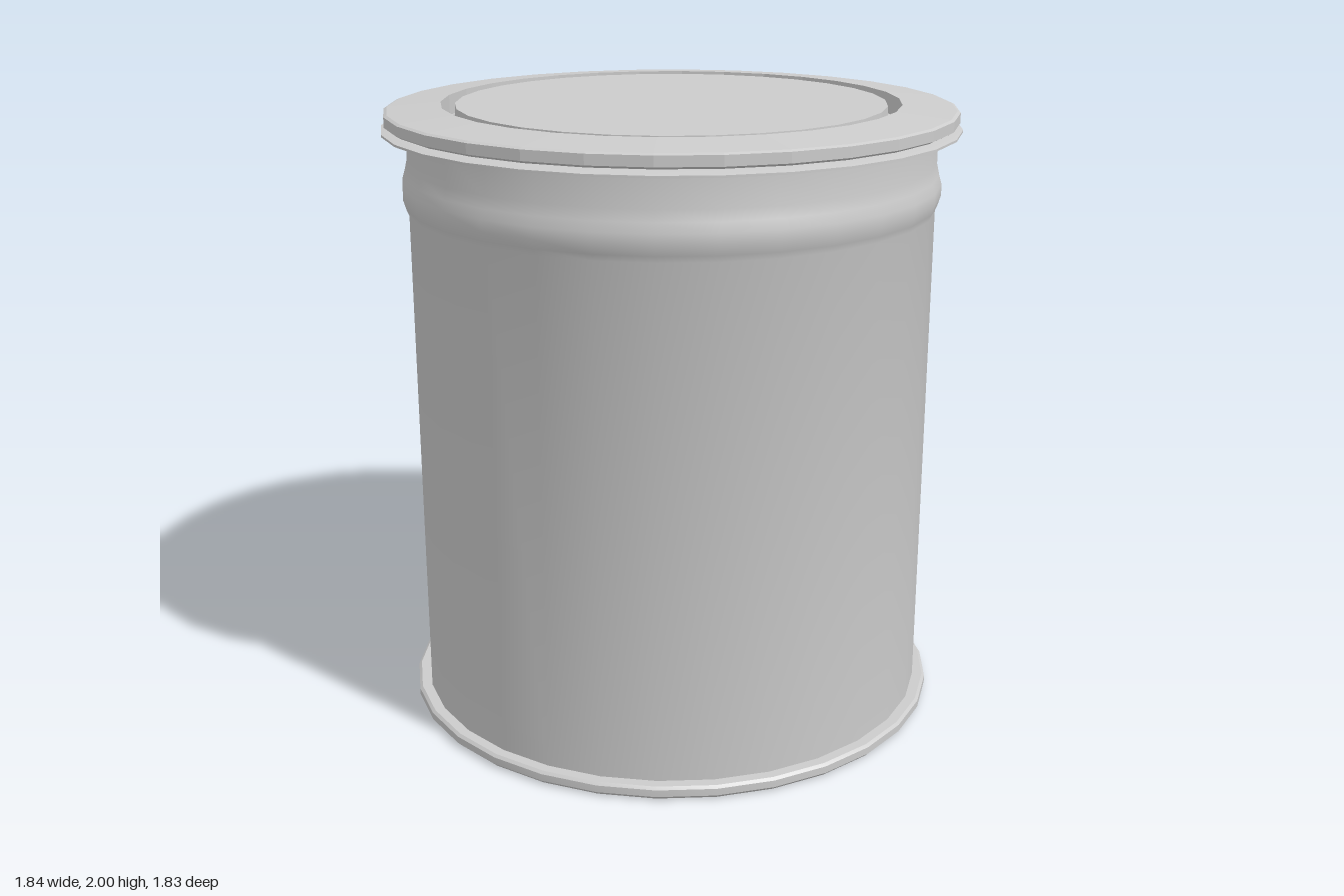
import * as THREE from 'three';
import { toCreasedNormals } from 'three/addons/utils/BufferGeometryUtils.js';

const SIDES = 30;

// Revolve a [radius, height] profile, running from bottom to top, with a corner on +x
function turned(name, profile, flat = false) {
  const points = profile.map(([r, y]) => new THREE.Vector2(r, y));
  const lathe = new THREE.LatheGeometry(points, SIDES, Math.PI / 2);
  const material = new THREE.MeshStandardMaterial({
    color: 0xcccccc, flatShading: flat, side: THREE.DoubleSide,
  });
  const mesh = new THREE.Mesh(toCreasedNormals(lathe, 0.7), material);
  mesh.name = name;
  return mesh;
}

export function createModel() {
  const group = new THREE.Group();
  group.name = 'tinCan';

  // Closed base with a projecting bottom rim
  group.add(turned('base', [
    [0, 0], [0.875, 0], [0.887, 0.012], [0.887, 0.035], [0.878, 0.043], [0.84, 0.043],
  ]));

  // Straight wall with a raised bead below the mouth
  group.add(turned('body', [
    [0.845, 0.04], [0.845, 1.67], [0.853, 1.69], [0.862, 1.72], [0.862, 1.755],
    [0.853, 1.785], [0.845, 1.82], [0.845, 1.92],
  ]));

  // Thin flange rolled out around the mouth
  group.add(turned('mouthFlange', [
    [0.84, 1.913], [0.88, 1.914], [0.92, 1.92], [0.92, 1.927], [0.88, 1.935], [0.72, 1.935],
  ]));

  // Lid ring, a deep narrow groove and the raised centre panel
  group.add(turned('lid', [
    [0.8, 1.94], [0.895, 1.94], [0.91, 1.948], [0.91, 1.98], [0.9, 1.985], [0.73, 2],
    [0.73, 1.88], [0.69, 1.88], [0.685, 1.996], [0, 1.996],
  ], true));

  return group;
}
